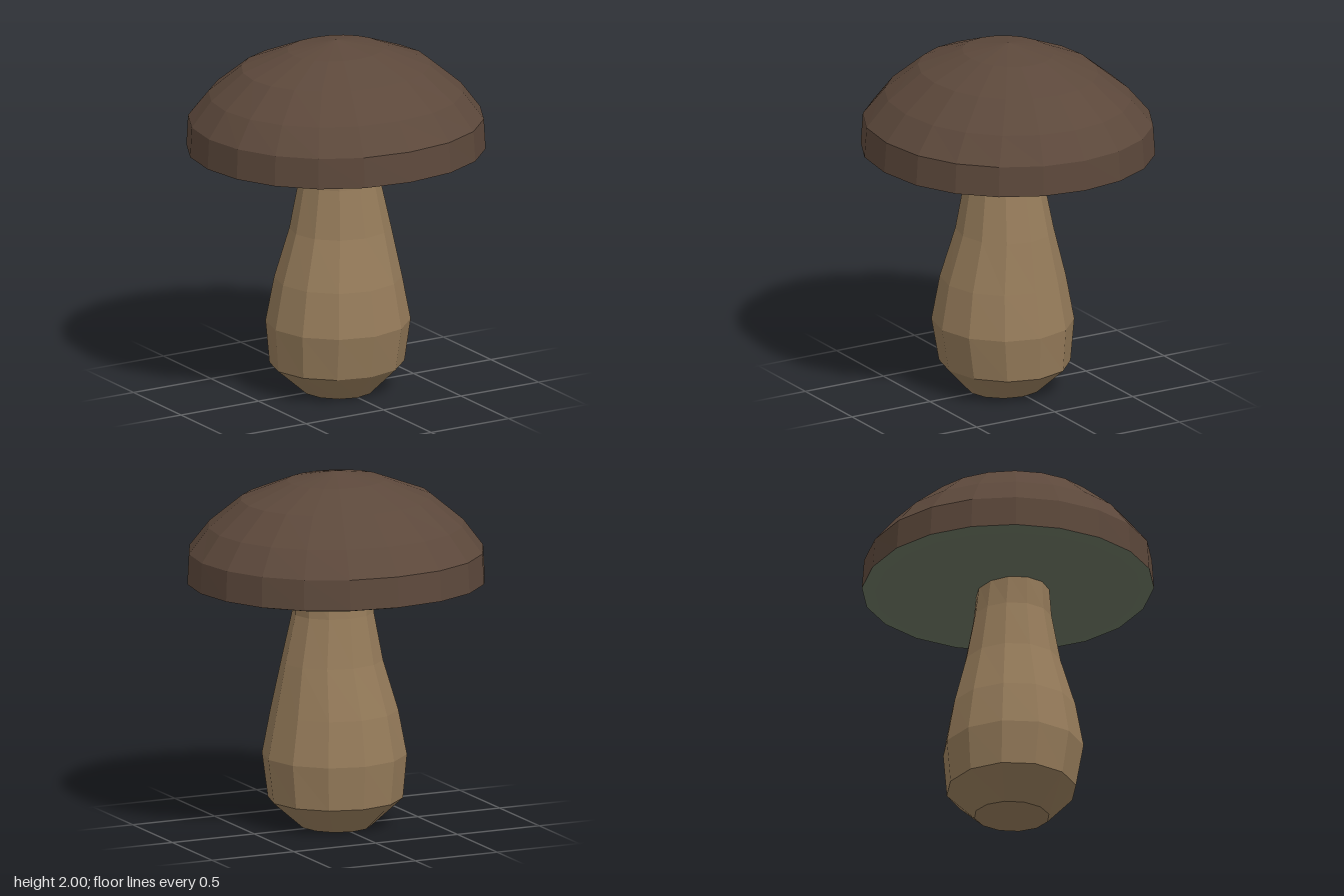
import * as THREE from 'three';

// Skin elliptical rings [y, rx, rz, cx, cz] from bottom to top with flat facets.
// A zero radius makes a pole; bulge < 1 squares the outline slightly.
function loft(rings, sides, bulge = 1) {
  const point = ([y, rx, rz, cx = 0, cz = 0], j) => {
    const a = (j % sides) / sides * Math.PI * 2;
    const c = Math.cos(a);
    return [cx + rx * Math.sign(c) * Math.abs(c) ** bulge, y, cz + rz * Math.sin(a)];
  };
  const pos = [];
  for (let i = 0; i < rings.length - 1; i++) {
    const lo = rings[i], hi = rings[i + 1];
    for (let j = 0; j < sides; j++) {
      const a = point(lo, j), b = point(hi, j), c = point(hi, j + 1), d = point(lo, j + 1);
      if (hi[1] > 0) pos.push(...a, ...b, ...c);
      if (lo[1] > 0) pos.push(...a, ...(hi[1] > 0 ? c : b), ...d);
    }
  }
  const geo = new THREE.BufferGeometry();
  geo.setAttribute('position', new THREE.Float32BufferAttribute(pos, 3));
  geo.computeVertexNormals();
  return geo;
}

function part(name, geometry, color) {
  const mesh = new THREE.Mesh(geometry, new THREE.MeshStandardMaterial({ color, flatShading: true }));
  mesh.name = name;
  return mesh;
}

export function createModel() {
  const model = new THREE.Group();
  model.name = 'mushroom';

  // Domed cap, from rim to crown
  model.add(part('cap', loft([
    [1.385, 0.828, 0.793],
    [1.555, 0.82, 0.78],
    [1.70, 0.713, 0.658],
    [1.85, 0.535, 0.473],
    [1.95, 0.275, 0.24],
    [2.0, 0, 0],
  ], 20, 0.93), 0x5c483b));

  // Shallow underside with a bevelled rim
  model.add(part('capUnderside', loft([
    [1.355, 0, 0],
    [1.367, 0.755, 0.72],
    [1.385, 0.828, 0.793],
  ], 20, 0.93), 0x6b7562));

  // Bulging stem, leaning slightly, closed at the foot
  model.add(part('stem', loft([
    [0, 0, 0, -0.005, 0.02],
    [0, 0.197, 0.21, -0.005, 0.02],
    [0.155, 0.377, 0.357, -0.005, 0.018],
    [0.40, 0.403, 0.39, -0.005, 0.03],
    [0.65, 0.355, 0.345, -0.005, 0.03],
    [0.93, 0.285, 0.267, 0.01, 0.028],
    [1.20, 0.228, 0.217, 0.005, 0.028],
    [1.37, 0.23, 0.197, 0.005, 0.03],
  ], 12), 0x957b5a));

  return model;
}
